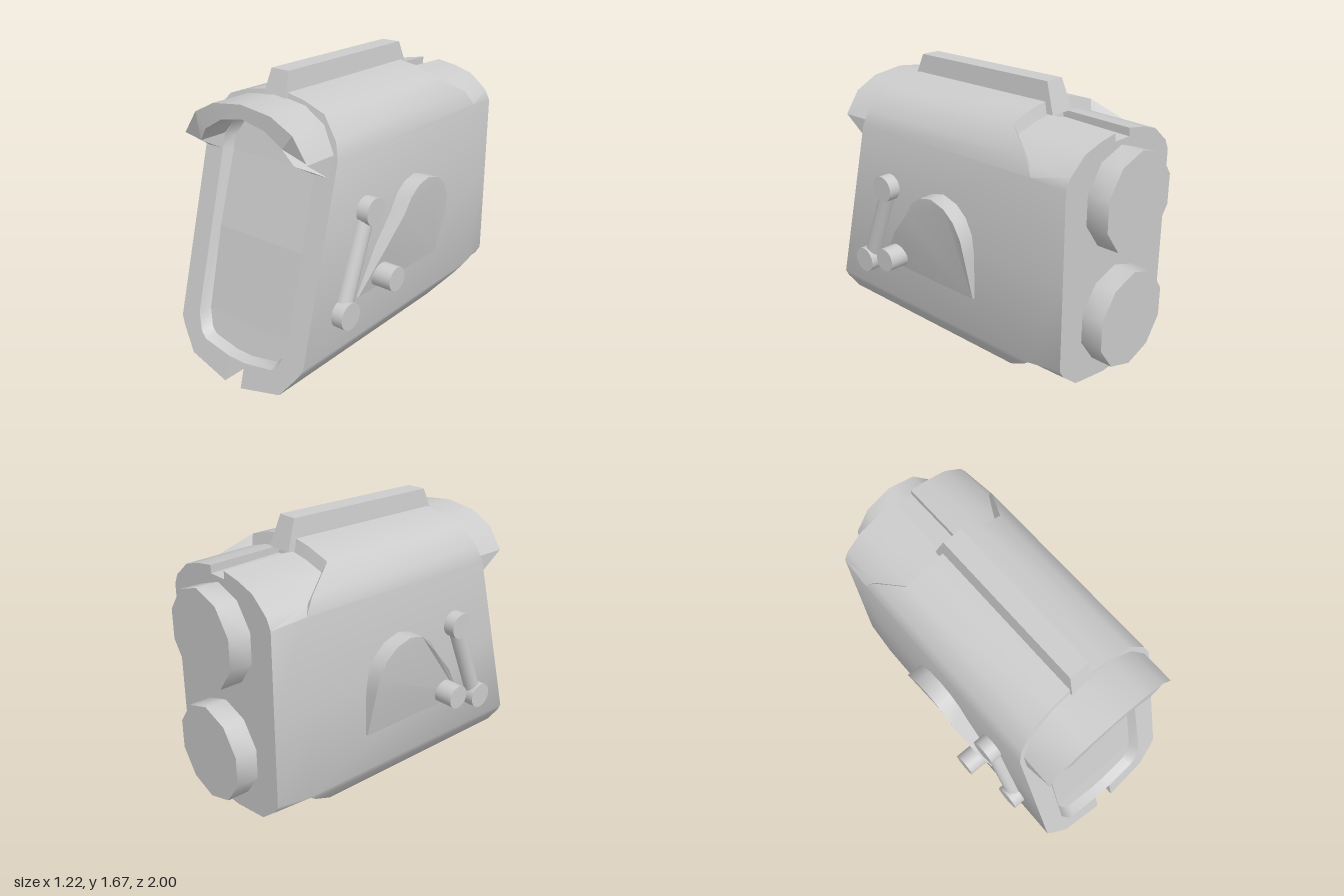
import * as THREE from 'three';
import { toCreasedNormals } from 'three/addons/utils/BufferGeometryUtils.js';

// Half outlines, top centre to bottom centre, matched point by point
const MAIN = [[0, 1.57], [0.06, 1.565], [0.06, 1.565], [0.18, 1.545], [0.33, 1.5], [0.43, 1.385], [0.46, 1.3],
  [0.46, 0.78], [0.46, 0.24], [0.43, 0.19], [0.33, 0.065], [0.06, 0], [0.06, 0.14], [0, 0.14]];
const REAR = [[0, 1.44], [0.06, 1.44], [0.06, 1.485], [0.18, 1.465], [0.3, 1.43], [0.41, 1.34], [0.44, 1.28],
  [0.44, 0.78], [0.44, 0.27], [0.41, 0.22], [0.3, 0.13], [0.06, 0.09], [0.06, 0.09], [0, 0.09]];
const OPENING = [[0, 1.46], [0.06, 1.455], [0.06, 1.455], [0.15, 1.43], [0.27, 1.37], [0.33, 1.28], [0.33, 1.2],
  [0.33, 0.78], [0.33, 0.3], [0.29, 0.2], [0.25, 0.17], [0.06, 0.14], [0.06, 0.14], [0, 0.14]];
const STEP_Z = [-0.42, -0.42, -0.42, -0.42, -0.42, -0.6, -0.66, -0.66, -0.66, -0.6, -0.42, -0.42, -0.42, -0.42];
const REAR_Z = -0.87;

const faceZ = (y) => 1 - 0.272 * y; // slanted front plane

// Mirror a half loop of [x, y, z] into a full loop
const fullLoop = (half) => [...half, ...half.slice(1, -1).reverse().map(([x, ...rest]) => [-x, ...rest])];

function fromTriangles(tris, crease = 0.6) {
  const g = new THREE.BufferGeometry();
  g.setAttribute('position', new THREE.Float32BufferAttribute(tris.flat(2), 3));
  g.computeVertexNormals();
  return toCreasedNormals(g, crease);
}

function loft(rings) {
  const tris = [];
  for (let r = 0; r < rings.length - 1; r++) {
    const n = rings[r].length;
    for (let i = 0; i < n; i++) {
      const j = (i + 1) % n;
      const a = rings[r][i], b = rings[r][j], c = rings[r + 1][j], d = rings[r + 1][i];
      tris.push([a, b, d], [b, c, d]);
    }
  }
  return fromTriangles(tris);
}

// Move every vertex of a geometry by a rule
function reshape(geometry, rule) {
  const p = geometry.attributes.position, v = new THREE.Vector3();
  for (let i = 0; i < p.count; i++) {
    rule(v.fromBufferAttribute(p, i));
    p.setXYZ(i, v.x, v.y, v.z);
  }
  return toCreasedNormals(geometry, 0.6);
}

const toShape = (pts) => new THREE.Shape(pts.map(([x, y]) => new THREE.Vector2(x, y)));
const extrude = (pts) => new THREE.ExtrudeGeometry(toShape(pts), { depth: 1, bevelEnabled: false });

export function createModel() {
  const model = new THREE.Group();
  const material = new THREE.MeshStandardMaterial({ color: 0xcccccc });
  const add = (name, geometry) => {
    const mesh = new THREE.Mesh(geometry, material);
    mesh.name = name;
    model.add(mesh);
    return mesh;
  };

  // Body shell: window recess, front rim, sides, rear step, rear taper
  const pane = OPENING.map(([x, y], i) => {
    const py = 0.8 + (y - 0.8) * 0.98;
    return [x * 0.92, py, faceZ(py) - 0.06 + (i === 7 ? 0.015 : 0)];
  });
  const rim = OPENING.map(([x, y]) => [x, y, faceZ(y)]);
  const front = MAIN.map(([x, y]) => [x, y, faceZ(y)]);
  const shoulder = MAIN.map(([x, y], i) => [x * 0.985, y, STEP_Z[i]]);
  const step = REAR.map(([x, y], i) => {
    if (i > 5 && i < 9) return shoulder[i];
    const [mx, my] = MAIN[i];
    return [x + (mx - x) * 0.15, y + (my - y) * 0.15, STEP_Z[i] - 0.02];
  });
  const rear = REAR.map(([x, y]) => [x, y, REAR_Z]);
  add('body', loft([pane, rim, front, shoulder, step, rear].map(fullLoop)));

  // Recessed front pane with a slight fold at mid height
  const paneTris = [];
  const flip = ([x, y, z]) => [-x, y, z];
  for (let i = 0; i < pane.length - 1; i++) {
    const a = pane[i], b = pane[i + 1];
    paneTris.push([a, flip(a), flip(b)], [a, flip(b), b]);
  }
  add('frontPane', fromTriangles(paneTris, 0.01));

  // Flat rear wall
  const wall = new THREE.ShapeGeometry(toShape(fullLoop(REAR)));
  add('rearWall', wall.rotateY(Math.PI).translate(0, 0, REAR_Z));

  // Hood over the window
  const outer = [[0.43, 1.21], [0.43, 1.32], [0.34, 1.45], [0.2, 1.52], [0, 1.545]];
  const inner = [[0.33, 1.21], [0.33, 1.29], [0.27, 1.37], [0.15, 1.44], [0, 1.47]];
  const mirrored = (pts) => [...pts, ...pts.slice(0, -1).reverse().map(([x, y]) => [-x, y])];
  add('hood', reshape(extrude([...mirrored(outer), ...mirrored(inner).reverse()]), (v) => {
    v.z = v.z < 0.5 ? faceZ(v.y) - 0.04 : Math.min(0.84, 0.68 + (v.y - 1.21) * 1.78);
  }));

  // Tapered ridge along the top
  add('topRidge', reshape(new THREE.BoxGeometry(1, 1, 1), (v) => {
    const top = v.y > 0;
    v.x = Math.sign(v.x) * (top ? 0.06 : 0.08);
    v.z = v.z > 0 ? (top ? 0.55 : 0.61) : (top ? -0.42 : -0.48);
    v.y = top ? 1.67 : 1.5;
  }));

  // Two ten-sided rear ports
  for (const y of [1.13, 0.455]) {
    const port = add('rearPort', toCreasedNormals(new THREE.CylinderGeometry(0.28, 0.28, 0.15, 10), 0.8));
    port.rotation.x = -Math.PI / 2;
    port.position.set(0, y, -0.925);
  }

  // Side fittings, the same on both sides
  const platePts = [[0.49, 0.48], [0.33, 0.72], [0.19, 0.88], [0.13, 0.97], [0.06, 1.02], [-0.03, 1.04],
    [-0.13, 1.01], [-0.2, 0.95], [-0.245, 0.86], [-0.26, 0.75], [-0.26, 0.48]];
  for (const s of [1, -1]) {
    const side = s > 0 ? 'left' : 'right';
    // Wedge plate, thickest at its top
    const plate = extrude(platePts.map(([z, y]) => [-s * z, y])).rotateY(s * Math.PI / 2);
    add(side + 'SidePlate', reshape(plate, (v) => {
      const t = (1.04 - v.y) / 0.56;
      v.x = s * (Math.abs(v.x) < 0.5 ? 0.43 : 0.555 - 0.085 * t * t);
    }));

    const peg = (name, r, y, z, end) => {
      const mesh = add(side + name, new THREE.CylinderGeometry(r, r, end - 0.42, 24));
      mesh.rotation.z = Math.PI / 2;
      mesh.position.set(s * (end + 0.42) / 2, y, z);
    };
    peg('Knob', 0.07, 0.57, 0.33, 0.61);
    peg('UpperPivot', 0.077, 0.97, 0.42, 0.53);
    peg('LowerPivot', 0.077, 0.445, 0.63, 0.53);

    // Rod joining the two pivots
    const dir = new THREE.Vector3(0, 0.525, -0.21);
    const rod = add(side + 'Rod', new THREE.CylinderGeometry(0.05, 0.05, dir.length(), 20));
    rod.position.set(s * 0.467, 0.7075, 0.525);
    rod.quaternion.setFromUnitVectors(new THREE.Vector3(0, 1, 0), dir.normalize());
  }
  return model;
}
